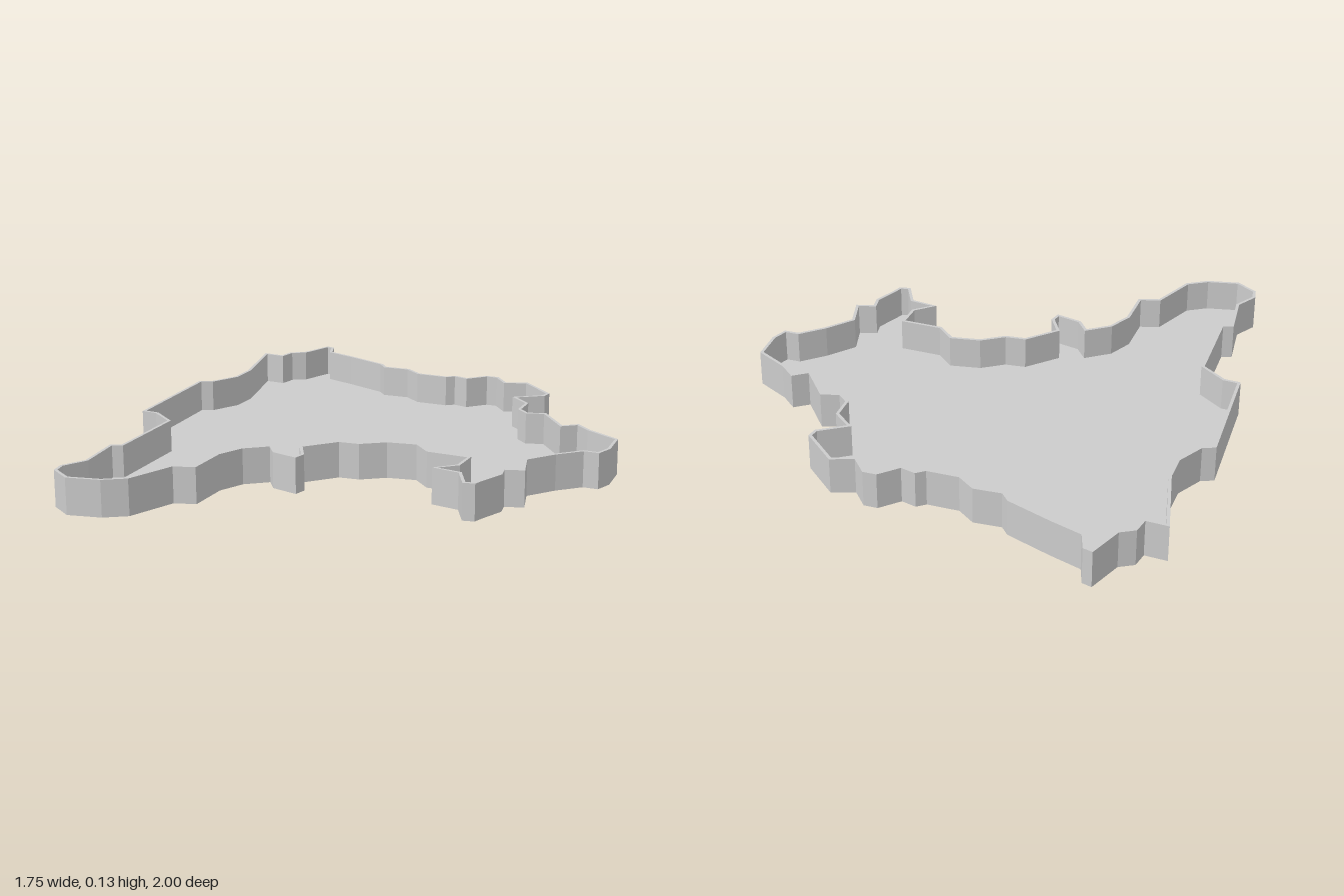
import * as THREE from 'three';

const HEIGHT = 0.13, FLOOR = 0.014, WALL = 0.011;

// Outline corners [x, z], clockwise seen from above
const OUTLINE = [
  // north coast
  [-.665, -1], [-.63, -.99], [-.605, -.92], [-.49, -.88], [-.325, -.815], [-.295, -.78], [-.195, -.785],
  [-.13, -.735], [-.015, -.735], [.015, -.76], [.07, -.745], [.13, -.81], [.18, -.81], [.235, -.745],
  [.315, -.775], [.445, -.655], [.44, -.615], [.35, -.55], [.418, -.49], [.422, -.4], [.46, -.365],
  // east
  [.525, -.385], [.63, -.255], [.68, -.295], [.74, -.24], [.865, -.17], [.875, -.045], [.855, .02],
  [.8, .02], [.725, .095], [.655, .19], [.69, .31], [.625, .33], [.635, .38], [.6, .475],
  [.59, .51], [.548, .518], [.497, .422], [.395, .405], [.46, .34], [.46, .25], [.31, .245],
  // south
  [.245, .182], [.14, .2], [.06, .258], [-.015, .265], [-.105, .367], [-.06, .447], [-.07, .493],
  [-.17, .467], [-.21, .412], [-.285, .472], [-.325, .565], [-.325, .727], [-.4, .75], [-.465, .925],
  [-.54, .975], [-.66, 1], [-.74, .945], [-.75, .892], [-.705, .807], [-.727, .62], [-.69, .605],
  // west
  [-.7, .275], [-.79, .205], [-.85, .2], [-.875, -.27], [-.83, -.29], [-.78, -.39], [-.78, -.495],
  [-.85, -.785], [-.77, -.78], [-.76, -.84], [-.71, -.87],
].map(([x, z]) => new THREE.Vector2(x, z));

// Moves every corner inward along its mitre so the rim keeps an even width
function inset(points, d) {
  const n = points.length;
  const normal = (a, b) => new THREE.Vector2(a.y - b.y, b.x - a.x).normalize();
  return points.map((p, i) => {
    const n1 = normal(points[(i + n - 1) % n], p);
    const n2 = normal(p, points[(i + 1) % n]);
    const mitre = n1.clone().add(n2).normalize();
    return p.clone().addScaledVector(mitre, d / Math.max(mitre.dot(n1), 0.6));
  });
}

// Rim: outer face, top edge and inner face swept round the outline
function rimGeometry() {
  const inner = inset(OUTLINE, WALL);
  const rows = [[OUTLINE, FLOOR], [OUTLINE, HEIGHT], [inner, HEIGHT], [inner, FLOOR]];
  const corner = (row, i) => {
    const p = row[0][i % OUTLINE.length];
    return [p.x, row[1], p.y];
  };
  const positions = [];
  for (let r = 0; r < rows.length - 1; r++) {
    for (let i = 0; i < OUTLINE.length; i++) {
      const a = corner(rows[r], i), b = corner(rows[r], i + 1);
      const c = corner(rows[r + 1], i), d = corner(rows[r + 1], i + 1);
      positions.push(...b, ...a, ...c, ...b, ...c, ...d);
    }
  }
  const geometry = new THREE.BufferGeometry();
  geometry.setAttribute('position', new THREE.Float32BufferAttribute(positions, 3));
  geometry.computeVertexNormals();
  return geometry;
}

// Thin base plate filling the outline
function floorGeometry() {
  const shape = new THREE.Shape(OUTLINE.map((p) => new THREE.Vector2(p.x, -p.y)));
  return new THREE.ExtrudeGeometry(shape, { depth: FLOOR, bevelEnabled: false }).rotateX(-Math.PI / 2);
}

export function createModel() {
  const group = new THREE.Group();
  group.name = 'mapOutlineTray';
  const material = new THREE.MeshStandardMaterial({
    color: 0xcccccc, flatShading: true, side: THREE.DoubleSide,
  });
  const parts = { floor: floorGeometry(), rimWall: rimGeometry() };
  for (const [name, geometry] of Object.entries(parts)) {
    const mesh = new THREE.Mesh(geometry, material);
    mesh.name = name;
    group.add(mesh);
  }
  return group;
}
